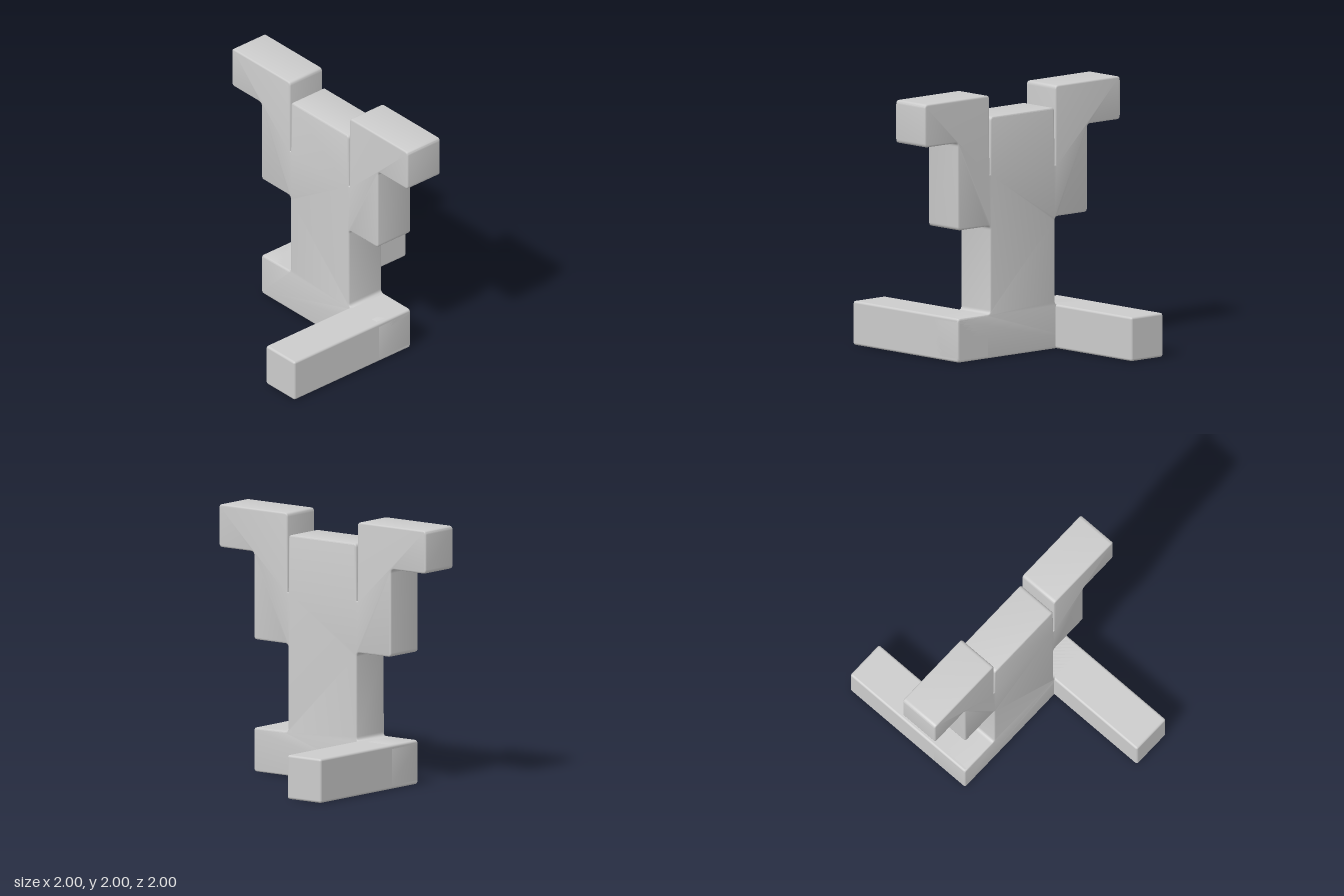
import * as THREE from 'three';
import { toCreasedNormals } from 'three/addons/utils/BufferGeometryUtils.js';
import { RoundedBoxGeometry } from 'three/addons/geometries/RoundedBoxGeometry.js';

const material = new THREE.MeshStandardMaterial({ color: 0xcccccc });
const THICK = 0.327;
const BEVEL = 0.012;

// Closed outline whose corners [x, y, radius] are softened by quadratic curves.
function roundedOutline(corners) {
  const shape = new THREE.Shape();
  const n = corners.length;
  corners.forEach(([x, y, r], i) => {
    const p = new THREE.Vector2(x, y);
    const toward = ([qx, qy]) => new THREE.Vector2(qx, qy).sub(p).setLength(r).add(p);
    const a = r ? toward(corners[(i + n - 1) % n]) : p;
    const b = r ? toward(corners[(i + 1) % n]) : p;
    if (i === 0) shape.moveTo(a.x, a.y);
    else shape.lineTo(a.x, a.y);
    if (r) shape.quadraticCurveTo(p.x, p.y, b.x, b.y);
  });
  shape.closePath();
  return shape;
}

// Torso, arms and hips as one slab, with a narrow slit beside each shoulder.
function bodyGeometry() {
  const r = 0.03;
  const half = [
    [0.663, 0, r], [0.663, 0.335, r], [0.332, 0.335, r], [0.332, 1.005, r],
    [0.663, 1.005, r], [0.663, 1.673, r], [1, 1.673, r], [1, 2, r],
    [0.338, 2, r], [0.336, 1.4, 0], [0.331, 1.4, 0], [0.327, 1.835, r],
  ];
  const mirrored = half.map(([x, y, q]) => [-x, y, q]).reverse();
  const depth = THICK - 2 * BEVEL;
  const geometry = new THREE.ExtrudeGeometry(roundedOutline([...half, ...mirrored]), {
    depth, curveSegments: 5,
    bevelThickness: BEVEL, bevelSize: BEVEL, bevelOffset: -BEVEL, bevelSegments: 3,
  });
  geometry.translate(0, 0, -depth / 2);
  return toCreasedNormals(geometry, 0.6);
}

export function createModel() {
  const model = new THREE.Group();
  model.name = 'blockFigure';

  const body = new THREE.Mesh(bodyGeometry(), material);
  body.name = 'body';
  model.add(body);

  // Feet stretch in opposite directions: left forward, right backward.
  const length = 1 + THICK / 2;
  const footGeometry = new RoundedBoxGeometry(0.326, 0.335, length, 3, 0.018);
  for (const side of [1, -1]) {
    const foot = new THREE.Mesh(footGeometry, material);
    foot.name = side > 0 ? 'leftFoot' : 'rightFoot';
    foot.position.set(side * 0.5, 0.1675, side * (1 - length / 2));
    model.add(foot);
  }
  return model;
}
